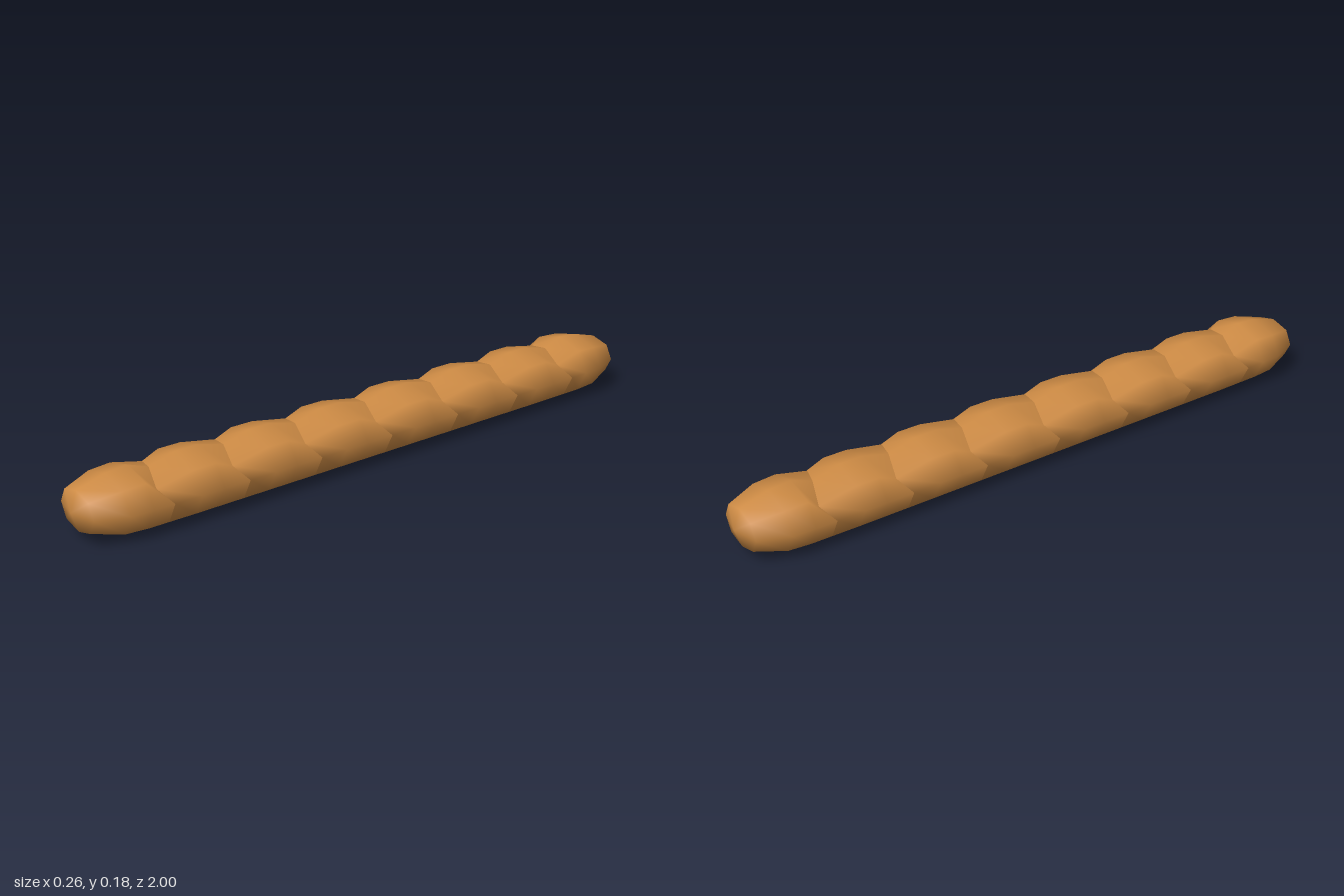
import * as THREE from 'three';
import { mergeVertices } from 'three/addons/utils/BufferGeometryUtils.js';

const SIDES = 8;
// Unit octagon section, counter-clockwise from +x
const SECTION = [[1, 0], [0.73, 0.73], [0, 1], [-0.73, 0.73], [-1, 0], [-0.73, -0.73], [0, -1], [-0.73 * -1, -0.73]];

// One ring of the loaf; cut = 1 presses the top down into a slanted score
function ring({ z, rx = 0.128, ry = 0.09, cut = 0 }) {
  return SECTION.map(([u, v], j) => {
    const onTop = j >= 1 && j <= 3;
    const drop = onTop ? cut * 0.024 : 0;
    const slant = onTop ? cut * 0.035 * u / 0.73 : 0;
    return [u * rx, 0.09 + v * ry - drop, z + slant];
  });
}

// Smooth skin over a list of rings running towards +z
function skin(rings) {
  const pos = rings.flatMap(r => ring(r).flat());
  const index = [];
  for (let i = 0; i < rings.length - 1; i++) {
    for (let j = 0; j < SIDES; j++) {
      const a = i * SIDES + j, b = i * SIDES + (j + 1) % SIDES;
      const c = b + SIDES, d = a + SIDES;
      if (rings[i].rx !== 0) index.push(a, b, c);
      else { index.push(a, c, d); continue; }
      if (rings[i + 1].rx !== 0) index.push(a, c, d);
    }
  }
  let geo = new THREE.BufferGeometry();
  geo.setAttribute('position', new THREE.Float32BufferAttribute(pos, 3));
  geo.setIndex(index);
  geo = mergeVertices(geo, 1e-5);
  geo.computeVertexNormals();
  return geo;
}

export function createModel() {
  const loaf = new THREE.Group();
  loaf.name = 'baguette';
  const crust = new THREE.MeshStandardMaterial({ color: 0xcc8a44 });
  crust.name = 'golden crust';

  const add = (name, rings) => {
    const mesh = new THREE.Mesh(skin(rings), crust);
    mesh.name = name;
    loaf.add(mesh);
  };

  // Rounded ends, from the tip to the first score
  const end = [
    { z: 1, rx: 0, ry: 0 },
    { z: 0.98, rx: 0.085, ry: 0.06 },
    { z: 0.89, rx: 0.122, ry: 0.085 },
    { z: 0.82, rx: 0.125, ry: 0.09 },
    { z: 0.755, rx: 0.126, cut: 1 },
  ];
  add('frontEnd', [...end].reverse());
  add('backEnd', end.map(r => ({ ...r, z: -r.z })));

  // Puffed crust between neighbouring scores
  const scores = [-0.755, -0.51, -0.26, 0, 0.26, 0.51, 0.755];
  for (let i = 0; i < scores.length - 1; i++) {
    const a = scores[i], b = scores[i + 1], len = b - a;
    const rx = z => (Math.abs(z) > 0.7 ? 0.126 : 0.128);
    add('crustSegment' + (i + 1), [
      { z: a, rx: rx(a), cut: 1 },
      { z: a + len * 0.35, cut: 0.08 },
      { z: a + len * 0.65, cut: 0.08 },
      { z: b, rx: rx(b), cut: 1 },
    ]);
  }
  return loaf;
}
